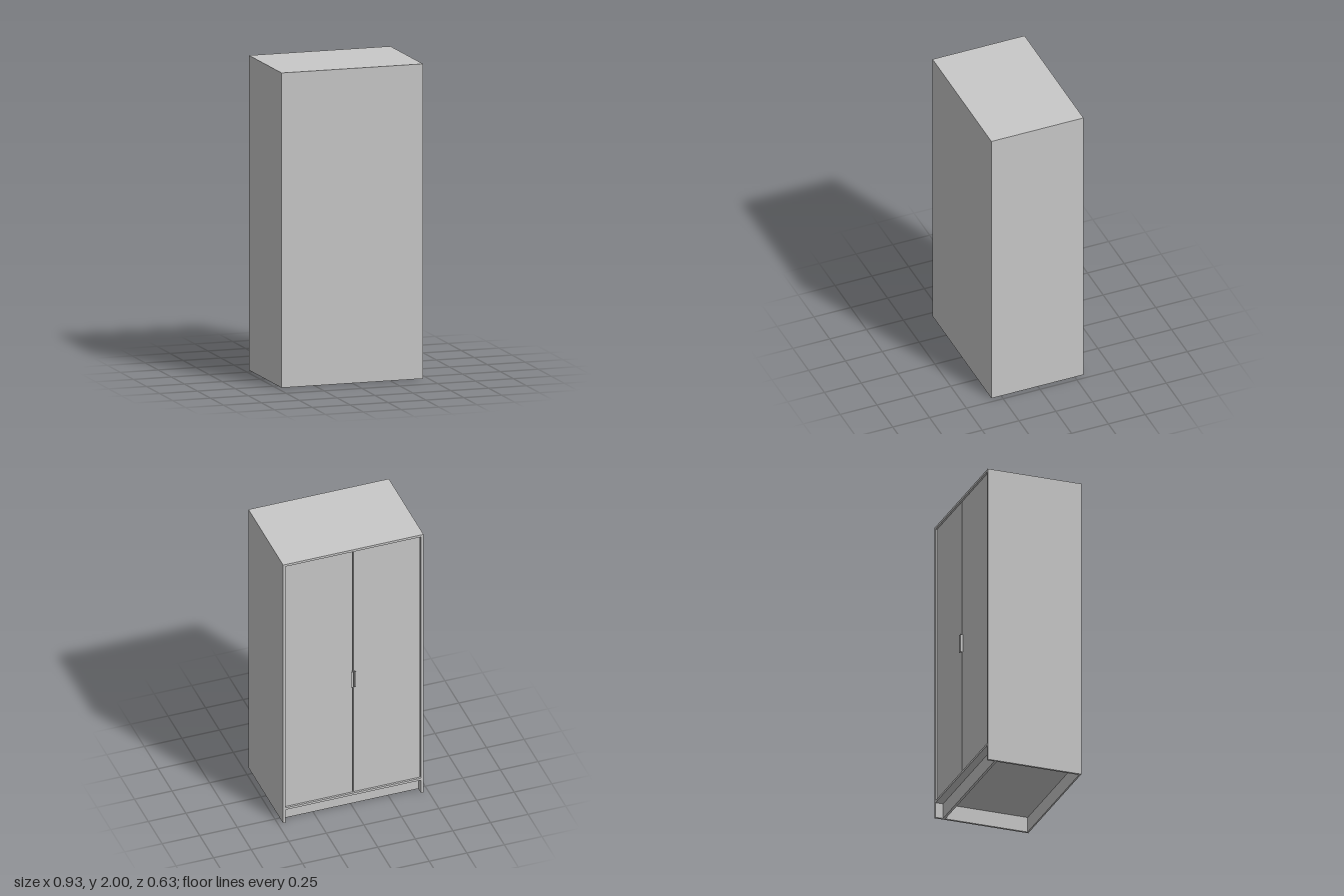
import * as THREE from 'three';

export function createModel() {
  const group = new THREE.Group();
  const panelGrey = new THREE.MeshStandardMaterial({ color: 0xc8c8c8 });

  // Box given by its minimum and maximum corners
  function box(name, [x0, y0, z0], [x1, y1, z1]) {
    const mesh = new THREE.Mesh(new THREE.BoxGeometry(x1 - x0, y1 - y0, z1 - z0), panelGrey);
    mesh.position.set((x0 + x1) / 2, (y0 + y1) / 2, (z0 + z1) / 2);
    mesh.name = name;
    group.add(mesh);
  }

  const W = 0.467, T = 0.016;         // half width, board thickness
  const DOOR = -0.309, WALL = 0.316;  // door side and wall side of the carcass
  const IN = W - T;
  const BASE = 0.1;                   // underside of the carcass floor

  // Carcass
  box('topPanel', [-W, 2 - T, DOOR], [W, 2, WALL]);
  box('backPanel', [-IN, 0, WALL - 0.01], [IN, 2 - T, WALL]);
  box('bottomPanel', [-IN, BASE, DOOR], [IN, BASE + T, WALL - 0.01]);
  box('plinth', [-IN, 0, DOOR + 0.05], [IN, BASE, DOOR + 0.05 + T]);

  // Sides, inset doors and pulls, mirrored about x = 0
  for (const s of [-1, 1]) {
    const side = s < 0 ? 'right' : 'left';
    const mirrored = (name, xa, xb, y0, y1, z0, z1) =>
      box(side + name, [Math.min(s * xa, s * xb), y0, z0], [Math.max(s * xa, s * xb), y1, z1]);
    mirrored('SidePanel', IN, W, 0, 2 - T, DOOR, WALL);
    mirrored('Door', 0.003, IN - 0.003, BASE + T + 0.004, 2 - T - 0.004, DOOR + 0.008, DOOR + 0.008 + T);
    // L-shaped pull: stem at the door edge and a thin grip
    mirrored('HandleStem', 0.003, 0.007, 0.94, 1.06, -0.315, DOOR + 0.008);
    mirrored('HandleGrip', 0.003, 0.014, 0.94, 1.06, -0.318, -0.315);
  }
  return group;
}
